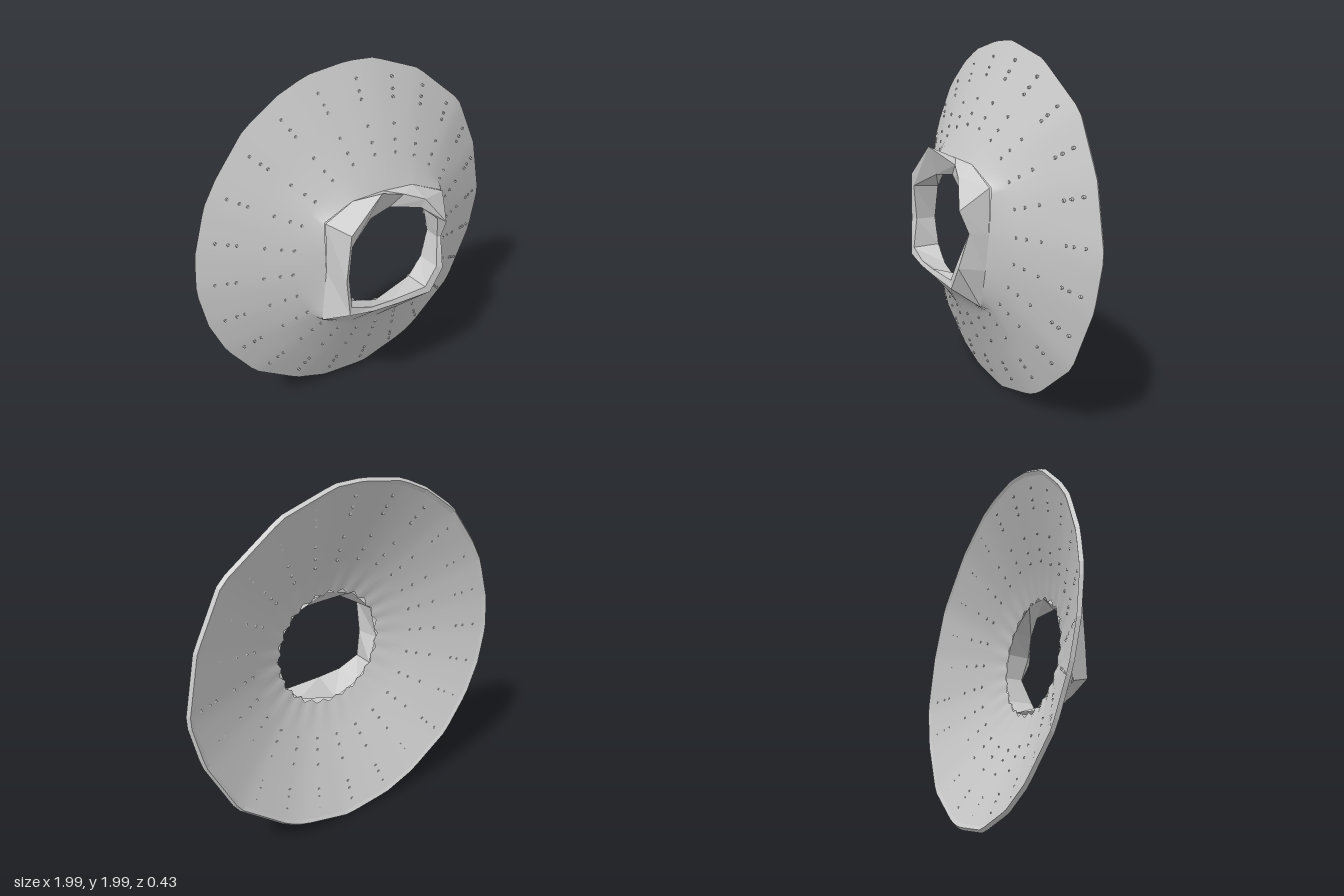
import * as THREE from 'three';

const N = 96, CY = 1;
const grey = (opts = {}) => new THREE.MeshStandardMaterial({ color: 0xcccccc, side: THREE.DoubleSide, ...opts });

// Distance from the axis to a polygon outline along direction a
function radial(poly, a) {
  const dx = Math.cos(a), dy = Math.sin(a);
  let best = 0;
  poly.forEach((p, i) => {
    const q = poly[(i + 1) % poly.length];
    const px = p[0], py = p[1] - CY, ex = q[0] - p[0], ey = q[1] - p[1];
    const d = dx * ey - dy * ex;
    if (Math.abs(d) < 1e-9) return;
    const t = (px * ey - py * ex) / d, s = (px * dy - py * dx) / d;
    if (t > 0 && s >= -1e-6 && s <= 1 + 1e-6) best = Math.max(best, t);
  });
  return best;
}

// One ring of points: radius given as a function of the angle
const ring = (radius, z) => Array.from({ length: N }, (_, i) => {
  const a = i / N * Math.PI * 2, r = radius(a);
  return [r * Math.cos(a), CY + r * Math.sin(a), z];
});

// Skin a series of closed rings with equal point counts
function loft(rings) {
  const n = rings[0].length, index = [];
  for (let k = 0; k < rings.length - 1; k++) for (let i = 0; i < n; i++) {
    const j = (i + 1) % n, a = k * n + i, b = k * n + j;
    index.push(a, b, b + n, a, b + n, a + n);
  }
  const g = new THREE.BufferGeometry();
  g.setAttribute('position', new THREE.Float32BufferAttribute(rings.flat(2), 3));
  g.setIndex(index);
  g.computeVertexNormals();
  return g;
}

// Uneven outline of the wide rim, counterclockwise
const rimOutline = [
  [1, 0.97], [0.93, 1.32], [0.78, 1.63], [0.45, 1.88], [0.14, 1.99], [-0.03, 2],
  [-0.28, 1.97], [-0.45, 1.9], [-0.65, 1.77], [-0.82, 1.56], [-0.9, 1.43], [-0.98, 1.18],
  [-1, 0.97], [-0.96, 0.74], [-0.88, 0.54], [-0.72, 0.31], [-0.45, 0.12], [-0.25, 0.04],
  [0.05, 0], [0.36, 0.07], [0.47, 0.12], [0.77, 0.36], [0.94, 0.7],
];

// Collar cross-sections: foot, front crest, inner lip
const foot = [
  [0.4, 1, 0.07], [0.42, 1.24, 0.08], [0.2, 1.34, 0.07], [0, 1.36, 0.07],
  [-0.2, 1.36, 0.07], [-0.38, 1.29, 0.08], [-0.38, 1, 0.07], [-0.42, 0.7, 0.07],
  [-0.22, 0.61, 0.07], [-0.05, 0.57, 0.07], [0.31, 0.59, 0.07], [0.36, 0.8, 0.07],
];
const crest = [
  [0.35, 1, 0.16], [0.34, 1.12, 0.21], [0.22, 1.28, 0.16], [0.1, 1.33, 0.12],
  [-0.1, 1.42, 0.19], [-0.31, 1.25, 0.21], [-0.34, 0.98, 0.2], [-0.33, 0.77, 0.21],
  [-0.17, 0.73, 0.21], [0, 0.71, 0.21], [0.24, 0.69, 0.21], [0.33, 0.82, 0.21],
];
const lip = [
  [0.33, 1, 0.15], [0.3, 1.14, 0.18], [0.2, 1.23, 0.15], [0.02, 1.27, 0.1],
  [-0.13, 1.26, 0.13], [-0.3, 1.18, 0.2], [-0.31, 0.98, 0.18], [-0.31, 0.81, 0.2],
  [-0.18, 0.755, 0.2], [-0.03, 0.74, 0.2], [0.21, 0.73, 0.2], [0.29, 0.84, 0.2],
];
const throat = lip.map(([x, y]) => {
  const a = Math.atan2(y - CY, x);
  return [0.34 * Math.cos(a), CY + 0.34 * Math.sin(a), 0.05];
});

export function createModel() {
  const model = new THREE.Group();
  const add = (name, geometry, material) => {
    const mesh = new THREE.Mesh(geometry, material);
    mesh.name = name;
    model.add(mesh);
  };
  const rim = a => radial(rimOutline, a);
  const pleat = depth => a => depth * Math.cos(24 * a);

  // Front of the dish, from the rim to the collar
  add('dishFront', loft([
    ring(rim, -0.2),
    ring(a => 0.765 * (0.5 + 0.5 * rim(a)), -0.1),
    ring(() => 0.53, 0),
    ring(a => radial(foot, a), 0.07),
  ]), grey());

  // Hollow back, pleated towards the opening
  const edge = pleat(0.012), fold = pleat(0.004);
  add('dishBack', loft([
    ring(a => 0.335 + edge(a), 0.05),
    ring(a => 0.43 + fold(a), 0.018),
    ring(() => 0.53, -0.02),
    ring(a => 0.965 * rim(a), -0.205),
  ]), grey());

  // Narrow rim joining front and back
  add('rim', loft([
    ring(a => 0.965 * rim(a), -0.205),
    ring(a => 0.985 * rim(a), -0.217),
    ring(rim, -0.2),
  ]), grey({ flatShading: true }));

  // Jagged collar around the opening
  add('collar', loft([foot, crest, lip, throat]), grey({ flatShading: true }));

  // Rows of small rivets passing through the dish
  const radii = [0.54, 0.6, 0.68, 0.81, 0.85, 0.91];
  const pin = new THREE.CylinderGeometry(0.008, 0.008, 0.028, 8).rotateX(Math.PI / 2);
  const rivets = new THREE.Group();
  rivets.name = 'rivets';
  const pinMaterial = grey();
  for (let i = 0; i < 24; i++) for (const r of radii) {
    const a = i / 24 * Math.PI * 2;
    const rivet = new THREE.Mesh(pin, pinMaterial);
    rivet.name = 'rivet';
    rivet.position.set(r * Math.cos(a), CY + r * Math.sin(a), -0.01 - (r - 0.53) * 0.425);
    rivets.add(rivet);
  }
  model.add(rivets);
  return model;
}
